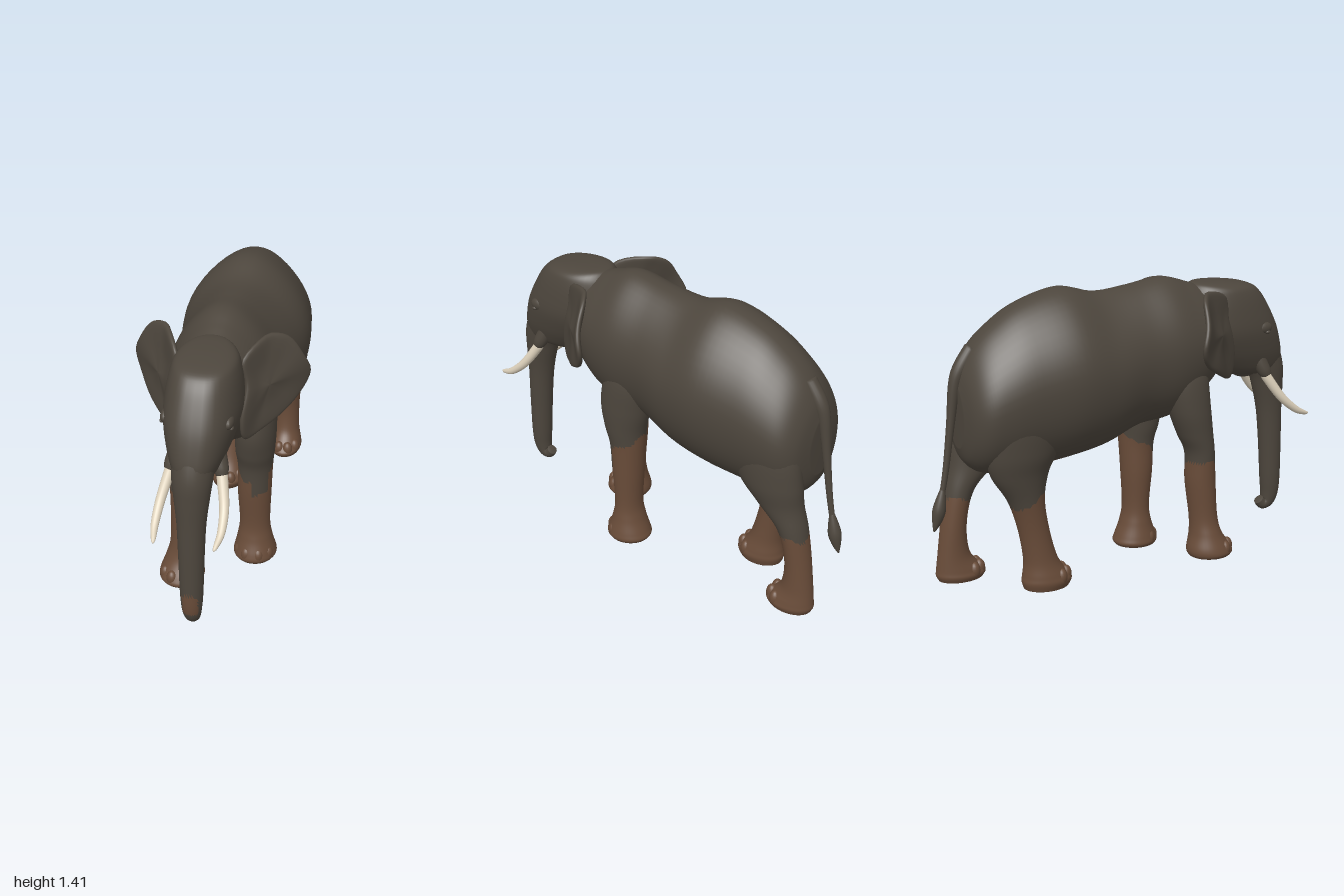
import * as THREE from 'three';

const mat = (name, color) => {
  const m = new THREE.MeshStandardMaterial({ color });
  m.name = name;
  return m;
};

// Smooth interpolation through rows of numbers
function spline(rows, sub) {
  const out = [], n = rows.length - 1;
  for (let i = 0; i < n; i++) {
    const [a, b, c, d] = [rows[Math.max(i - 1, 0)], rows[i], rows[i + 1], rows[Math.min(i + 2, n)]];
    for (let k = 0; k < sub; k++) {
      const t = k / sub;
      out.push(b.map((v, q) => v + 0.5 * t * (c[q] - a[q] + t * (2 * a[q] - 5 * v + 4 * c[q] - d[q]
        + t * (3 * (v - c[q]) + d[q] - a[q])))));
    }
  }
  out.push(rows[n]);
  return out;
}

// Closed smooth skin over rings; pick(centroid) chooses the second material
function skin(name, rings, mats, pick = () => false) {
  const sides = rings[0].length, pts = rings.flat(), faces = [];
  const caps = [rings[0], rings[rings.length - 1]].map(r => {
    const c = new THREE.Vector3();
    r.forEach(p => c.addScaledVector(p, 1 / sides));
    return pts.push(c) - 1;
  });
  const last = (rings.length - 1) * sides;
  for (let j = 0; j < sides; j++) {
    const k = (j + 1) % sides;
    for (let i = 0; i < last; i += sides) {
      faces.push([i + j, i + k, i + sides + j], [i + k, i + sides + k, i + sides + j]);
    }
    faces.push([caps[0], k, j], [caps[1], last + j, last + k]);
  }
  // Turn the faces outward
  let volume = 0;
  const cross = new THREE.Vector3();
  faces.forEach(([a, b, c]) => { volume += pts[a].dot(cross.crossVectors(pts[b], pts[c])); });
  if (volume < 0) faces.forEach(f => f.reverse());
  const split = [[], []];
  for (const f of faces) {
    const c = new THREE.Vector3();
    f.forEach(v => c.addScaledVector(pts[v], 1 / 3));
    split[pick(c) ? 1 : 0].push(...f);
  }
  const g = new THREE.BufferGeometry().setFromPoints(pts);
  g.setIndex([...split[0], ...split[1]]);
  g.addGroup(0, split[0].length, 0);
  g.addGroup(split[0].length, split[1].length, 1);
  g.computeVertexNormals();
  const mesh = new THREE.Mesh(g, mats);
  mesh.name = name;
  return mesh;
}

const around = (n, fn) => Array.from({ length: n }, (_, j) => fn(j / n * Math.PI * 2));
const power = (v, e) => Math.sign(v) * Math.abs(v) ** e;

// Tapered tube through rows of x, y, z, radius
function taper(name, rows, mats, pick, sides = 20) {
  const r = spline(rows, 6);
  const rings = r.map((p, i) => {
    const a = r[Math.max(i - 1, 0)], b = r[Math.min(i + 1, r.length - 1)];
    const t = new THREE.Vector3(b[0] - a[0], b[1] - a[1], b[2] - a[2]).normalize();
    const n = t.clone().cross(new THREE.Vector3(1, 0, 0)).normalize();
    const s = n.clone().cross(t);
    return around(sides, q => new THREE.Vector3(p[0], p[1], p[2])
      .addScaledVector(n, p[3] * Math.sin(q)).addScaledVector(s, p[3] * Math.cos(q)));
  });
  return skin(name, rings, mats, pick);
}

function blob(name, pos, size, material) {
  const m = new THREE.Mesh(new THREE.SphereGeometry(1, 18, 12), material);
  m.position.set(...pos);
  m.scale.set(...size);
  m.name = name;
  return m;
}

export function createModel() {
  const root = new THREE.Group();
  root.name = 'elephant';
  const hide = mat('grey hide', 0x4d463d), mud = mat('brown mud', 0x694c39);
  const ivory = mat('ivory', 0xdfd3bd);
  const skinMats = [hide, mud];

  // Body: z, top, bottom, half width; narrower along the spine
  const body = spline([
    [0.56, 1.30, 0.96, 0.10], [0.48, 1.34, 0.90, 0.165], [0.40, 1.355, 0.83, 0.205],
    [0.32, 1.38, 0.77, 0.23], [0.20, 1.41, 0.72, 0.25], [0.03, 1.385, 0.70, 0.255],
    [-0.15, 1.37, 0.635, 0.29], [-0.34, 1.41, 0.60, 0.314], [-0.55, 1.355, 0.58, 0.288],
    [-0.69, 1.27, 0.575, 0.265], [-0.78, 1.185, 0.59, 0.235], [-0.835, 1.09, 0.64, 0.175],
    [-0.86, 1.0, 0.71, 0.085]], 6);
  root.add(skin('body', body.map(([z, top, low, w]) => around(48, a => {
    const s = Math.sin(a);
    return new THREE.Vector3(w * power(Math.cos(a), 0.9) * (1 - 0.3 * Math.max(0, s) ** 2),
      (top + low) / 2 + s * (top - low) / 2, z);
  })), skinMats, p => p.y < 0.655 && Math.abs(p.x) < 0.12 && p.z < -0.08 && p.z > -0.6));

  // Head: y, front z, back z, half width
  const head = spline([
    [1.366, 0.48, 0.42, 0.03], [1.36, 0.57, 0.38, 0.085], [1.34, 0.685, 0.36, 0.13],
    [1.30, 0.74, 0.34, 0.15], [1.22, 0.793, 0.32, 0.165], [1.12, 0.843, 0.32, 0.17],
    [1.02, 0.875, 0.38, 0.148], [0.95, 0.888, 0.45, 0.122], [0.90, 0.88, 0.53, 0.095],
    [0.878, 0.84, 0.62, 0.06]], 5);
  root.add(skin('head', head.map(([y, f, b, w]) => around(40, a =>
    new THREE.Vector3(w * power(Math.cos(a), a < Math.PI ? 0.75 : 1), y, (f + b) / 2 + Math.sin(a) * (f - b) / 2))),
  skinMats));
  root.add(blob('chin', [0, 0.895, 0.69], [0.055, 0.04, 0.075], hide));

  root.add(taper('trunk', [
    [0, 1.02, 0.765, 0.10], [0, 0.90, 0.815, 0.092], [0, 0.80, 0.833, 0.08], [0, 0.67, 0.847, 0.066],
    [0, 0.50, 0.858, 0.059], [0, 0.30, 0.866, 0.053], [0, 0.21, 0.866, 0.046], [0, 0.165, 0.852, 0.038],
    [0, 0.152, 0.825, 0.031], [0, 0.175, 0.802, 0.026]], skinMats,
  p => p.y > 0.2 && p.z > 0.88 && p.y < 0.32 - 20 * p.x * p.x && Math.abs(p.x) < 0.036, 28));

  for (const s of [1, -1]) {
    const side = s > 0 ? 'left' : 'right';
    const flip = rows => rows.map(([x, ...r]) => [x * s, ...r]);
    root.add(taper(side + 'Tusk', flip([
      [0.108, 0.91, 0.73, 0.024], [0.12, 0.86, 0.757, 0.025], [0.143, 0.76, 0.828, 0.022],
      [0.148, 0.69, 0.91, 0.018], [0.138, 0.66, 0.975, 0.011], [0.134, 0.655, 0.998, 0.004]]), [ivory, ivory]));
    root.add(taper(side + 'TuskSheath', flip([
      [0.085, 1.02, 0.70, 0.03], [0.097, 0.95, 0.72, 0.036], [0.11, 0.905, 0.738, 0.034],
      [0.117, 0.88, 0.75, 0.027]]), skinMats));
    root.add(blob(side + 'Brow', [s * 0.14, 1.13, 0.71], [0.022, 0.03, 0.045], hide));
    root.add(blob(side + 'Eye', [s * 0.152, 1.11, 0.725], [0.012, 0.01, 0.015], hide));

    // Ear: outline shrunk toward its middle on the front and back faces
    const outline = new THREE.CatmullRomCurve3([
      [0.15, 1.31], [0.22, 1.36], [0.306, 1.335], [0.37, 1.245], [0.405, 1.14], [0.365, 1.04],
      [0.31, 0.985], [0.22, 0.93], [0.165, 0.91], [0.15, 1.02], [0.165, 1.17],
    ].map(([x, y]) => new THREE.Vector3(x, y, 0)), true);
    const mid = new THREE.Vector3(0.25, 1.15, 0);
    const layers = spline([[0.05, 0.008], [0.4, 0.006], [0.75, 0.012], [0.95, 0.012], [1, 0],
      [0.95, -0.012], [0.75, -0.018], [0.4, -0.026], [0.05, -0.028]], 3);
    root.add(skin(side + 'Ear', layers.map(([k, t]) => around(44, a => {
      const p = mid.clone().lerp(outline.getPoint(a / (Math.PI * 2)), k);
      const lean = 2.8 * Math.max(0, p.y - 1.15) * Math.max(0, 0.18 - Math.abs(p.x - 0.23));
      const z = 0.495 - 1.22 * (p.x - 0.17) - lean;
      const ripple = 0.008 * k * Math.sin(a * 4);
      return new THREE.Vector3(s * (p.x + t * 0.77), p.y, z + t * 0.64 + ripple);
    })), skinMats));
  }

  // Legs: side, mud height over the surface, rows of y, front z, back z, inner x, outer x
  const legs = {
    frontLeftLeg: [1, p => (p.z > 0.19 && p.x > 0.14 ? 0.4 : 0.655 - 0.7 * p.z), [
      [1.07, 0.20, 0.06, 0.08, 0.18], [0.94, 0.26, 0.0, 0.06, 0.235], [0.78, 0.29, 0.02, 0.05, 0.245],
      [0.65, 0.27, 0.05, 0.05, 0.24], [0.55, 0.24, 0.06, 0.06, 0.23], [0.4, 0.23, 0.07, 0.06, 0.225],
      [0.22, 0.215, 0.08, 0.07, 0.22], [0.13, 0.228, 0.065, 0.06, 0.232], [0.06, 0.253, 0.04, 0.045, 0.25],
      [0.03, 0.26, 0.03, 0.04, 0.255], [0.012, 0.25, 0.04, 0.05, 0.245]]],
    frontRightLeg: [-1, p => 0.465 + 0.1 * p.z, [
      [1.07, 0.36, 0.16, 0.08, 0.17], [0.94, 0.38, 0.15, 0.06, 0.225], [0.78, 0.395, 0.18, 0.05, 0.24],
      [0.65, 0.41, 0.23, 0.05, 0.235], [0.55, 0.42, 0.275, 0.06, 0.23], [0.4, 0.43, 0.28, 0.06, 0.225],
      [0.22, 0.44, 0.30, 0.075, 0.225], [0.13, 0.46, 0.30, 0.07, 0.245], [0.06, 0.505, 0.285, 0.06, 0.27],
      [0.03, 0.52, 0.285, 0.055, 0.275], [0.012, 0.51, 0.295, 0.065, 0.265]]],
    hindLeftLeg: [1, () => 0.425, [
      [1.05, -0.54, -0.74, 0.06, 0.19], [0.88, -0.47, -0.83, 0.04, 0.25], [0.7, -0.52, -0.855, 0.035, 0.25],
      [0.58, -0.62, -0.86, 0.04, 0.225], [0.46, -0.74, -0.885, 0.05, 0.205], [0.3, -0.785, -0.91, 0.055, 0.19],
      [0.15, -0.775, -0.93, 0.055, 0.19], [0.07, -0.715, -0.94, 0.045, 0.205],
      [0.04, -0.695, -0.942, 0.04, 0.21], [0.015, -0.71, -0.93, 0.05, 0.2]]],
    hindRightLeg: [-1, p => 0.655 + 0.35 * p.z, [
      [1.05, -0.46, -0.68, 0.06, 0.2], [0.88, -0.38, -0.78, 0.04, 0.255], [0.7, -0.42, -0.78, 0.035, 0.25],
      [0.58, -0.47, -0.75, 0.04, 0.225], [0.45, -0.49, -0.67, 0.05, 0.205], [0.3, -0.47, -0.62, 0.055, 0.195],
      [0.15, -0.43, -0.595, 0.05, 0.2], [0.07, -0.38, -0.60, 0.035, 0.215],
      [0.035, -0.355, -0.605, 0.03, 0.22], [0, -0.37, -0.595, 0.04, 0.21]]],
  };
  for (const [name, [s, mudHeight, rows]] of Object.entries(legs)) {
    root.add(skin(name, spline(rows, 8).map(([y, f, b, i, o]) => around(36, a => new THREE.Vector3(
      s * ((i + o) / 2 + Math.cos(a) * (o - i) / 2), y, (f + b) / 2 + Math.sin(a) * (f - b) / 2))),
    skinMats, p => p.y < mudHeight(p) + 0.015 * Math.sin(p.x * 40 + p.z * 30)));
    // Toes along the front of the foot
    const [y, f, b, i, o] = rows[rows.length - 2];
    for (const a of [0.55, 1.2, 1.94, 2.59]) {
      root.add(blob(name + 'Toe', [s * ((i + o) / 2 + Math.cos(a) * (o - i) * 0.38), y + 0.018,
        (f + b) / 2 + Math.sin(a) * (f - b) * 0.38], [0.028, 0.042, 0.028], mud));
    }
  }

  // Tail with its tuft
  root.add(taper('tail', [
    [0, 1.17, -0.775, 0.035], [0, 1.08, -0.835, 0.036], [0, 1.0, -0.866, 0.029], [0, 0.83, -0.89, 0.02],
    [0, 0.62, -0.92, 0.015], [0, 0.49, -0.945, 0.013], [0, 0.42, -0.96, 0.012]], skinMats));
  root.add(taper('tailTuft', [
    [0, 0.52, -0.94, 0.012], [0, 0.46, -0.953, 0.026], [0, 0.41, -0.964, 0.031], [0, 0.36, -0.977, 0.02],
    [0, 0.32, -0.99, 0.004]], skinMats));

  return root;
}
